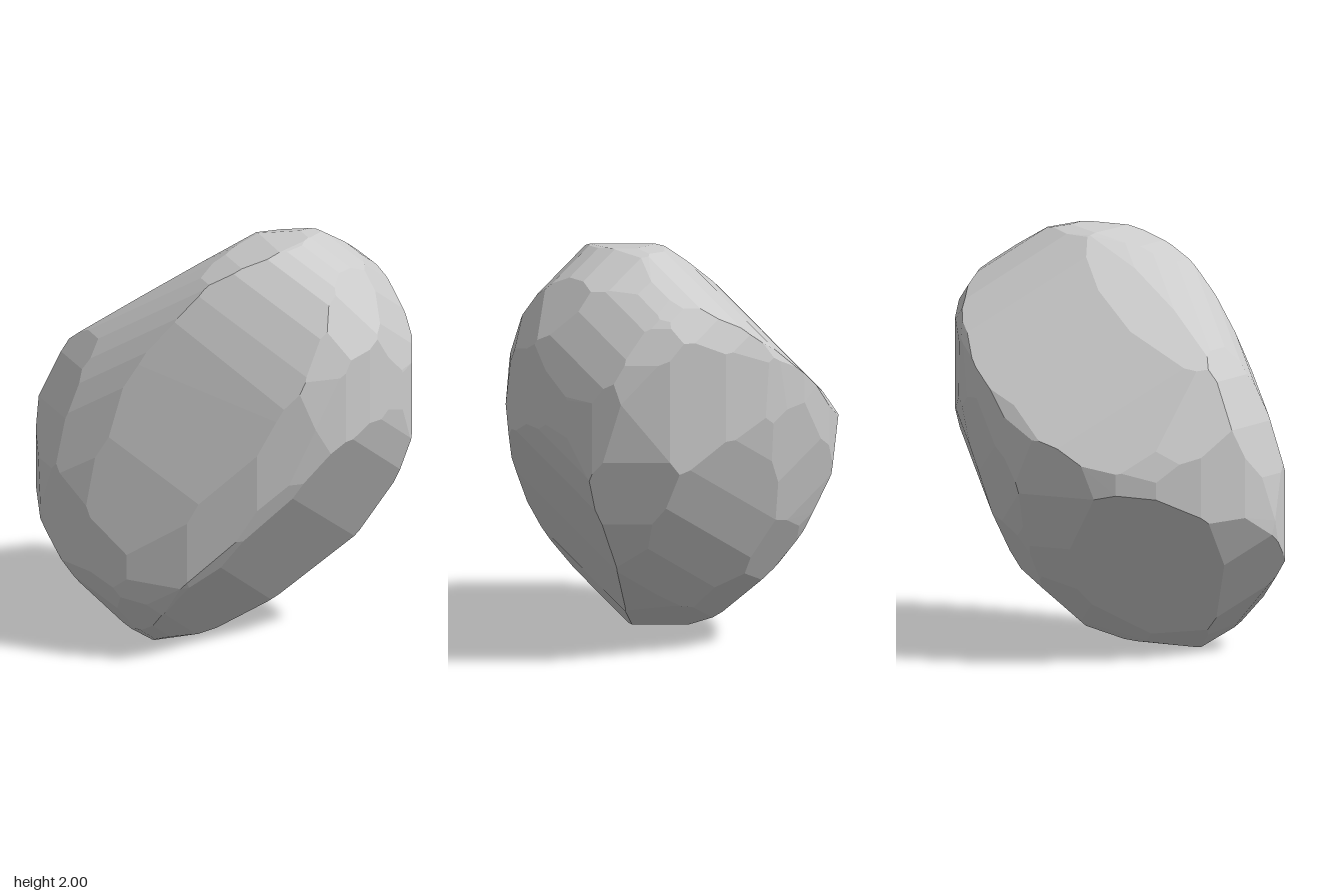
import * as THREE from 'three';
import { ConvexGeometry } from 'three/addons/geometries/ConvexGeometry.js';

// Unit vector from an azimuth (0 = front, 90 = +x) and an elevation, in degrees
function direction(azimuth, elevation) {
  const a = THREE.MathUtils.degToRad(azimuth);
  const e = THREE.MathUtils.degToRad(elevation);
  return new THREE.Vector3(Math.sin(a) * Math.cos(e), Math.sin(e), Math.cos(a) * Math.cos(e));
}

// Clockwise outlines about the boulder's middle, each seen along one direction
const outlines = [
  { azimuth: 0, elevation: 0, points: [[-.41, -1], [-.8, -.65], [-.9, -.32], [-.71, .37], [-.22, .83], [.35, 1], [.72, .84], [.89, .35], [.6, -.54]] },
  { azimuth: 90, elevation: 0, points: [[-.13, -1], [-.58, -.6], [-.8, .2], [-.62, .85], [-.3, 1], [.1, .91], [.8, .1], [.46, -.67]] },
  { azimuth: 0, elevation: 90, points: [[-.02, .81], [.6, .48], [.89, -.25], [.64, -.61], [.2, -.8], [-.63, -.42], [-.9, .05], [-.57, .63]] },
  { azimuth: 45, elevation: 30, points: [[-.07, .76], [.46, .71], [.76, .41], [.64, -.25], [.23, -.77], [-.48, -.85], [-.75, -.4], [-.61, .41], [-.41, .66]] },
  { azimuth: 225, elevation: 30, points: [[-.06, 1.09], [.23, 1.01], [.51, .55], [.68, -.3], [.75, -.64], [.36, -.96], [-.45, -.66], [-.62, -.38], [-.76, .48], [-.55, .92]] },
  { azimuth: 135, elevation: -30, points: [[-.4, .97], [.15, .72], [.81, .07], [.83, -.37], [.24, -1.04], [-.01, -.98], [-.82, -.02], [-.89, .39], [-.67, .84]] },
];

// Broad chipped facets: azimuth, elevation and distance from the middle
const facets = [
  [-37, 14, .64],  // front left slab
  [215, 54, .71],  // sloping top
  [221, 23, .77],  // back left shoulder
  [207, -38, .75], // back underside
  [31, -28, .745], // front underside
  [140, -30, .72], // back right underside
  [128, -48, .77],
  [-43, -37, .98], // front left foot
  [39, 37, 1.05],  // rounded front right crown
  [55, 23, 1.02],
  [20, 27, .99],
];

// Every facet and every short edge of a rounded outline becomes a cutting plane
function cuttingPlanes() {
  const planes = facets.map(([a, e, distance]) => ({ normal: direction(a, e), distance }));
  for (const { azimuth, elevation, points } of outlines) {
    const right = direction(azimuth + 90, 0);
    const up = direction(azimuth, elevation).cross(right);
    const curve = new THREE.CatmullRomCurve3(points.map(([x, y]) => new THREE.Vector3(x, y, 0)), true);
    const rim = curve.getPoints(points.length * 3);
    for (let i = 1; i < rim.length; i++) {
      const edge = rim[i].clone().sub(rim[i - 1]).normalize();
      const outward = new THREE.Vector3(-edge.y, edge.x, 0);
      planes.push({
        normal: right.clone().multiplyScalar(outward.x).addScaledVector(up, outward.y),
        distance: Math.max(...rim.map((p) => p.dot(outward))),
      });
    }
  }
  return planes;
}

// Corners of the solid inside all planes, found through the hull of the dual points
function cutCorners(planes) {
  const dual = new ConvexGeometry(planes.map((p) => p.normal.clone().divideScalar(p.distance)));
  const position = dual.attributes.position;
  const corners = [];
  for (let i = 0; i < position.count; i += 3) {
    const [a, b, c] = [0, 1, 2].map((k) => new THREE.Vector3().fromBufferAttribute(position, i + k));
    const normal = b.sub(a).cross(c.sub(a));
    const corner = normal.clone().divideScalar(normal.dot(a));
    const inside = planes.every((p) => p.normal.dot(corner) < p.distance + 1e-3);
    if (inside && corners.every((o) => o.distanceTo(corner) > .012)) corners.push(corner);
  }
  return corners;
}

export function createModel() {
  // Faceted boulder, resting on the ground
  const geometry = new ConvexGeometry(cutCorners(cuttingPlanes())).center();
  geometry.translate(0, -geometry.boundingBox.min.y, 0);

  const material = new THREE.MeshStandardMaterial({ color: 0xcccccc, flatShading: true });
  const boulder = new THREE.Mesh(geometry, material);
  boulder.name = 'boulder';
  const group = new THREE.Group();
  group.name = 'rock';
  group.add(boulder);
  return group;
}
